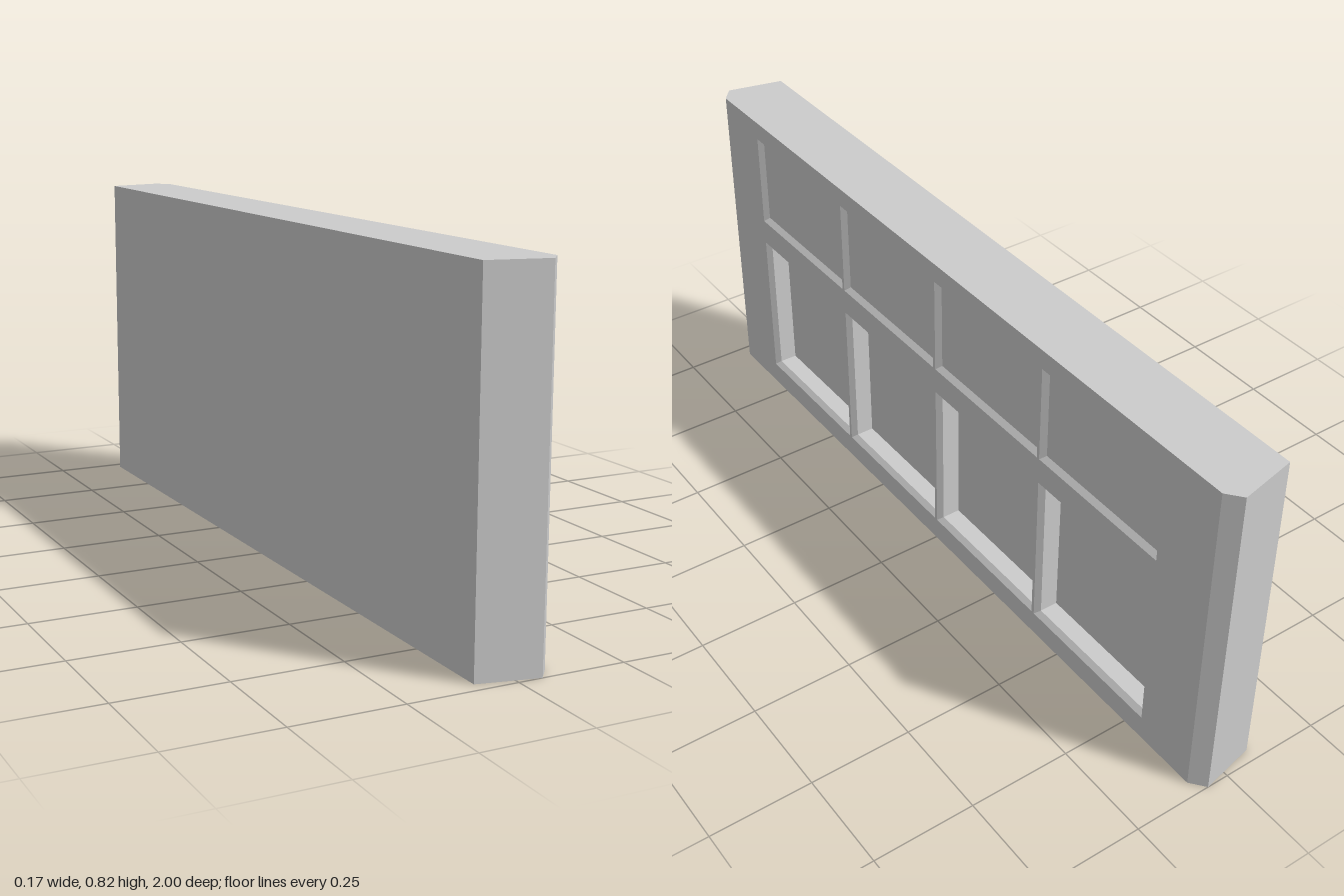
import * as THREE from 'three';

const H = 0.823, FACE = 0.084, BEVEL = 0.012, DEPTH = 0.045;
const material = new THREE.MeshStandardMaterial({ color: 0xcccccc, flatShading: true });

// Plan outline as [across, depth], running from the front right edge round the back.
const outline = [[0.965, FACE], [1, 0.055], [0.97, -FACE], [-0.97, -FACE], [-1, 0.055], [-0.965, FACE]];

function mesh(name, geometry) {
  const m = new THREE.Mesh(geometry, material);
  m.name = name;
  return m;
}

// Flat-shaded geometry from quads, corners anticlockwise.
function quads(list) {
  const pos = [];
  for (const [a, b, c, d] of list) pos.push(...a, ...b, ...c, ...a, ...c, ...d);
  const g = new THREE.BufferGeometry();
  g.setAttribute('position', new THREE.Float32BufferAttribute(pos, 3));
  g.computeVertexNormals();
  return g;
}

// Rectangle corners, shrunk by inset, at a given depth.
function ring({ u0, u1, y0, y1 }, inset, w) {
  const a = u0 + inset, b = u1 - inset, c = y0 + inset, d = y1 - inset;
  return [[a, c, w], [b, c, w], [b, d, w], [a, d, w]];
}

// Bevelled recess, with straight reveals below the bevel when depth > 0.
function recess(rect, depth) {
  const rings = [ring(rect, 0, FACE), ring(rect, BEVEL, FACE - BEVEL)];
  if (depth > 0) rings.push(ring(rect, BEVEL, FACE - BEVEL - depth));
  const list = [];
  for (let r = 0; r < rings.length - 1; r++) {
    for (let i = 0; i < 4; i++) {
      const j = (i + 1) % 4;
      list.push([rings[r][i], rings[r][j], rings[r + 1][j], rings[r + 1][i]]);
    }
  }
  list.push(rings[rings.length - 1]);
  return quads(list);
}

export function createModel() {
  const model = new THREE.Group();
  model.name = 'panelledWall';
  const wall = new THREE.Group();
  wall.name = 'wall';

  // Mitred ends and plain back
  const sides = [];
  for (let i = 0; i < outline.length - 1; i++) {
    const [au, aw] = outline[i], [bu, bw] = outline[i + 1];
    sides.push([[au, 0, aw], [bu, 0, bw], [bu, H, bw], [au, H, aw]]);
  }
  wall.add(mesh('endsAndBack', quads(sides)));

  // Top and bottom
  const plan = (s) => new THREE.Shape(outline.map(([u, w]) => new THREE.Vector2(u, s * w)));
  wall.add(mesh('top', new THREE.ShapeGeometry(plan(-1)).rotateX(-Math.PI / 2).translate(0, H, 0)));
  wall.add(mesh('bottom', new THREE.ShapeGeometry(plan(1)).rotateX(Math.PI / 2)));

  // Framed face with two rows of four openings
  const face = new THREE.Shape([[-0.965, 0], [0.965, 0], [0.965, H], [-0.965, H]].map((p) => new THREE.Vector2(...p)));
  const rows = [
    { name: 'lowerPanel', y0: 0.06, y1: 0.463, depth: DEPTH },
    { name: 'upperPanel', y0: 0.53, y1: 0.775, depth: 0 },
  ];
  for (const { name, y0, y1, depth } of rows) {
    for (let i = 0; i < 4; i++) {
      const centre = (i - 1.5) * 0.4045;
      const rect = { u0: centre - 0.198, u1: centre + 0.198, y0, y1 };
      face.holes.push(new THREE.Path(ring(rect, 0, 0).map(([u, y]) => new THREE.Vector2(u, y)).reverse()));
      wall.add(mesh(name + (i + 1), recess(rect, depth)));
    }
  }
  wall.add(mesh('frame', new THREE.ShapeGeometry(face).translate(0, 0, FACE)));

  // The panelled face looks along +x
  wall.rotation.y = Math.PI / 2;
  model.add(wall);
  return model;
}
